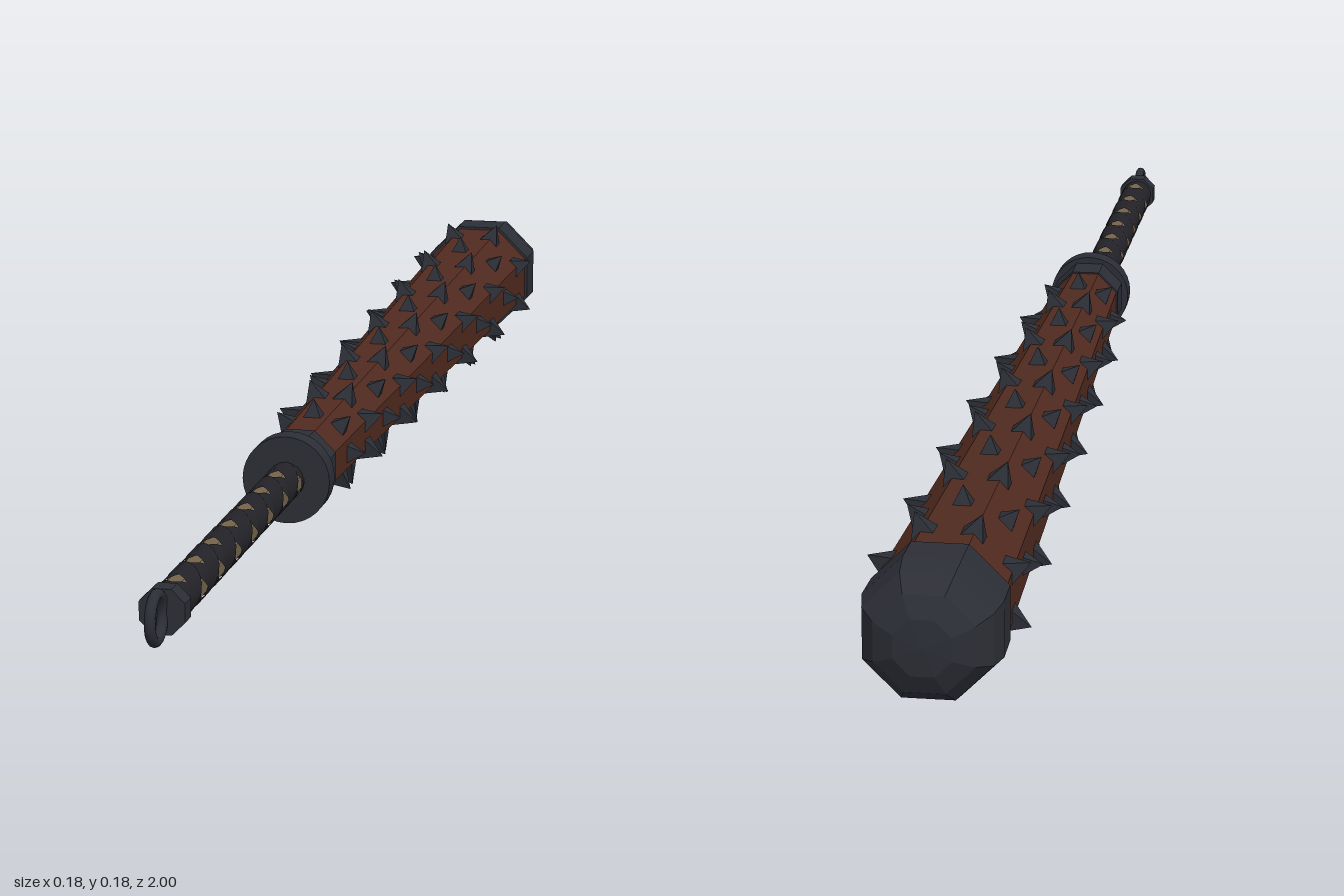
import * as THREE from 'three';
import { mergeGeometries } from 'three/addons/utils/BufferGeometryUtils.js';

const material = (name, color, extra = {}) =>
  Object.assign(new THREE.MeshStandardMaterial({ color, ...extra }), { name });

export function createModel() {
  const wood = material('wood', 0x502a1f, { flatShading: true });
  const iron = material('iron', 0x2c2e36, { flatShading: true });
  const ironSmooth = material('smooth iron', 0x2c2e36);
  const wrap = material('wrap', 0x232228, { side: THREE.DoubleSide });
  const core = material('handle core', 0x75644a, { flatShading: true });

  // Built along local +y (tip up), then laid down so the tip points to -z
  const group = new THREE.Group();
  group.name = 'spikedClub';
  const club = new THREE.Group();
  club.name = 'club';
  club.rotation.x = -Math.PI / 2;
  club.position.y = 0.0935;
  group.add(club);
  const add = (name, geometry, mat) => {
    const mesh = new THREE.Mesh(geometry, mat);
    mesh.name = name;
    club.add(mesh);
    return mesh;
  };
  const CORNER = 1 / Math.cos(Math.PI / 8); // flat radius to corner radius

  // Eight-sided solid of revolution from [flat radius, height] pairs
  const octagonal = (profile) => new THREE.LatheGeometry(
    profile.map(([r, y]) => new THREE.Vector2(r * CORNER, y)), 8, Math.PI / 8);

  // Tapered wooden body and rounded iron cap
  add('body', octagonal([[0, -0.36], [0.042, -0.36], [0.0725, 0.89], [0, 0.89]]), wood);
  add('tipCap', octagonal([[0, 0.88], [0.076, 0.88], [0.077, 0.93], [0.071, 0.962],
    [0.055, 0.985], [0.032, 0.997], [0, 1]]), iron);

  // Collar and round guard
  add('collar', octagonal([[0, -0.36], [0.045, -0.36], [0.045, -0.312], [0, -0.312]]), iron);
  const guard = add('guard', new THREE.CylinderGeometry(0.054, 0.054, 0.028, 32), ironSmooth);
  guard.position.y = -0.372;

  // Twelve rows of eight pyramids, alternating between edges and flats
  const spikes = [];
  for (let row = 0; row < 12; row++) {
    const y = 0.825 - row * 0.0966;
    const flat = 0.042 + (y + 0.36) / 1.25 * 0.0305;
    const onEdge = row % 2 === 0;
    const surface = onEdge ? flat * CORNER : flat;
    for (let i = 0; i < 8; i++) {
      const spike = new THREE.ConeGeometry(0.021, 0.03, 4, 1, false, Math.PI / 4);
      spike.rotateX(Math.PI / 2);
      spike.translate(0, 0, surface + 0.0065);
      spike.rotateY((i + (onEdge ? 0.5 : 0)) * Math.PI / 4);
      spike.translate(0, y, 0);
      spikes.push(spike);
    }
  }
  add('spikes', mergeGeometries(spikes), iron);

  // Handle core under a criss-cross wrap that leaves diamond gaps
  const top = -0.36, bottom = -0.93, gap = 0.075, width = 0.046;
  add('handleCore', octagonal([[0, bottom], [0.0195, bottom], [0.0195, top], [0, top]]), core);
  const ribbon = (direction, phase, radius) => {
    const turns = (top - bottom) / (2 * gap);
    const steps = Math.round(turns * 16);
    const positions = [], index = [];
    for (let i = 0; i <= steps; i++) {
      const a = direction * (i / steps) * turns * Math.PI * 2 + phase;
      const y = bottom + (top - bottom) * i / steps;
      for (const side of [-1, 1]) {
        const h = THREE.MathUtils.clamp(y + side * width / 2, bottom, top);
        positions.push(radius * Math.sin(a), h, radius * Math.cos(a));
      }
      if (i < steps) {
        const k = i * 2;
        index.push(k, k + 2, k + 1, k + 1, k + 2, k + 3);
      }
    }
    const g = new THREE.BufferGeometry();
    g.setAttribute('position', new THREE.Float32BufferAttribute(positions, 3));
    g.setIndex(direction > 0 ? index : index.reverse());
    g.computeVertexNormals();
    return g;
  };
  add('handleWrap', mergeGeometries([0, Math.PI].flatMap((phase) =>
    [ribbon(1, phase, 0.0222), ribbon(-1, phase, 0.0228)])), wrap);

  // Pommel band and hanging ring
  add('pommel', octagonal([[0, -0.946], [0.0255, -0.946], [0.0255, -0.922], [0, -0.922]]), iron);
  const ring = add('pommelRing', new THREE.TorusGeometry(0.0255, 0.0062, 10, 28), ironSmooth);
  ring.rotation.y = Math.PI / 2;
  ring.position.y = -0.9683;

  return group;
}
